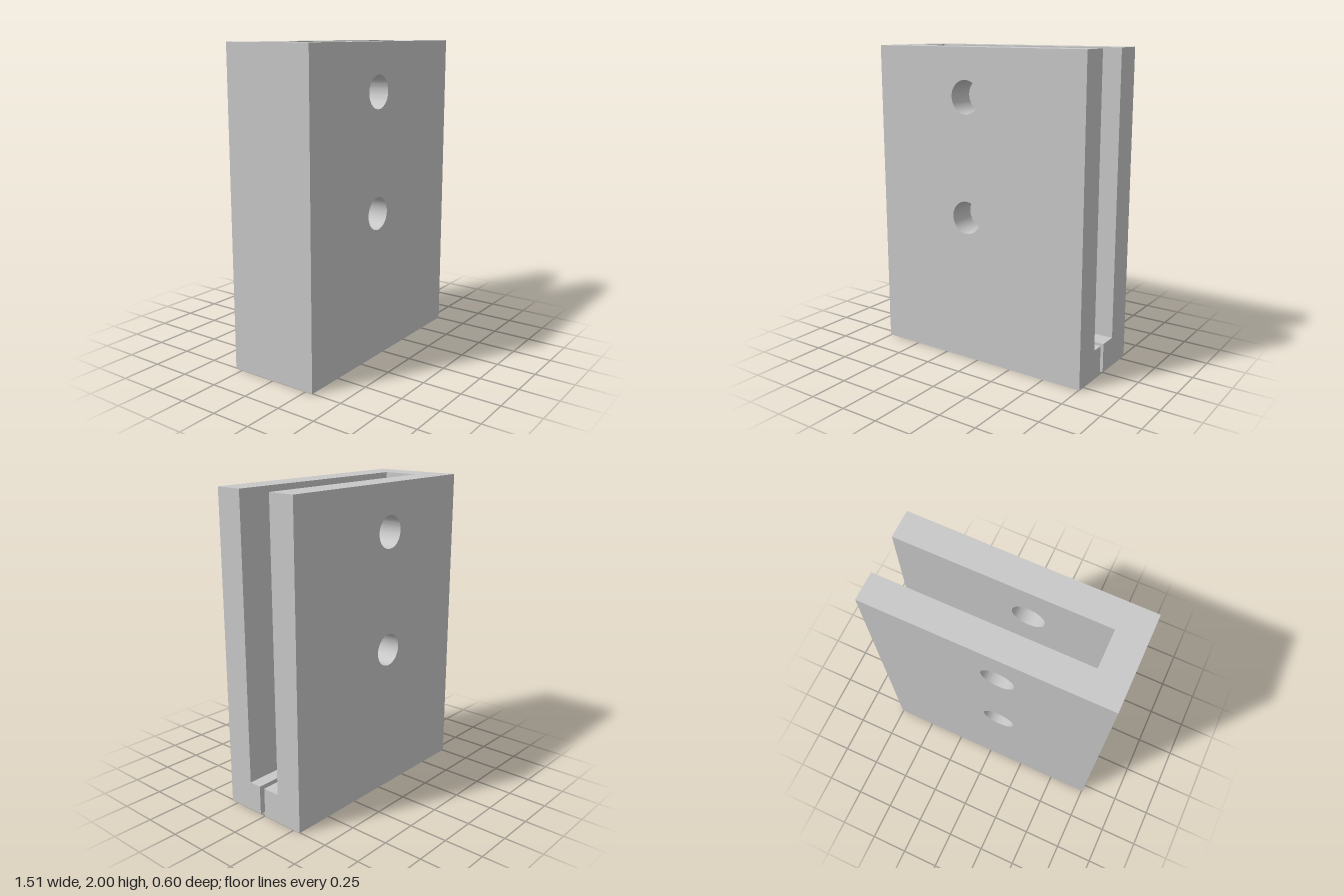
import * as THREE from 'three';
import { toCreasedNormals } from 'three/addons/utils/BufferGeometryUtils.js';

const W = 0.755, H = 2, D = 0.3;        // half width, height, half depth
const POCKET = 0.12;                    // half depth of the pocket
const WALL_X = -0.567, FLOOR_Y = 0.19;  // closed end and floor of the pocket

export function createModel() {
  const group = new THREE.Group();
  group.name = 'slottedBracket';
  const grey = new THREE.MeshStandardMaterial({ color: 0xc8c8c8 });
  grey.name = 'lightGrey';

  const add = (name, geometry, x, y, z) => {
    const mesh = new THREE.Mesh(geometry, grey);
    mesh.name = name;
    mesh.position.set(x, y, z);
    group.add(mesh);
    return mesh;
  };

  // Side plates with two through holes each
  const plate = new THREE.Shape();
  plate.moveTo(-W, 0).lineTo(W, 0).lineTo(W, H).lineTo(-W, H).closePath();
  for (const y of [0.945, 1.7]) {
    const hole = new THREE.Path();
    hole.absarc(-0.076, y, 0.104, 0, Math.PI * 2, true);
    plate.holes.push(hole);
  }
  const plateGeometry = toCreasedNormals(
    new THREE.ExtrudeGeometry(plate, { depth: D - POCKET, bevelEnabled: false, curveSegments: 32 }), 0.6);
  add('frontPlate', plateGeometry, 0, 0, POCKET);
  add('backPlate', plateGeometry, 0, 0, -D);

  // Closed end of the pocket
  add('endWall', new THREE.BoxGeometry(WALL_X + W, H, POCKET * 2), (WALL_X - W) / 2, H / 2, 0);

  // Pocket floor, drawn in x and -z, with a narrow slot open at the +x end
  const slotX = 0.187, z0 = -0.002, z1 = 0.037, r = 0.005;
  const floor = new THREE.Shape();
  floor.moveTo(WALL_X, -POCKET).lineTo(W, -POCKET).lineTo(W, -z1).lineTo(slotX + r, -z1);
  floor.quadraticCurveTo(slotX, -z1, slotX, -z1 + r);
  floor.lineTo(slotX, -z0 - r);
  floor.quadraticCurveTo(slotX, -z0, slotX + r, -z0);
  floor.lineTo(W, -z0).lineTo(W, POCKET).lineTo(WALL_X, POCKET).closePath();
  const floorGeometry = toCreasedNormals(
    new THREE.ExtrudeGeometry(floor, { depth: FLOOR_Y, bevelEnabled: false, curveSegments: 6 }), 0.6);
  add('slottedFloor', floorGeometry, 0, 0, 0).rotation.x = -Math.PI / 2;

  return group;
}
